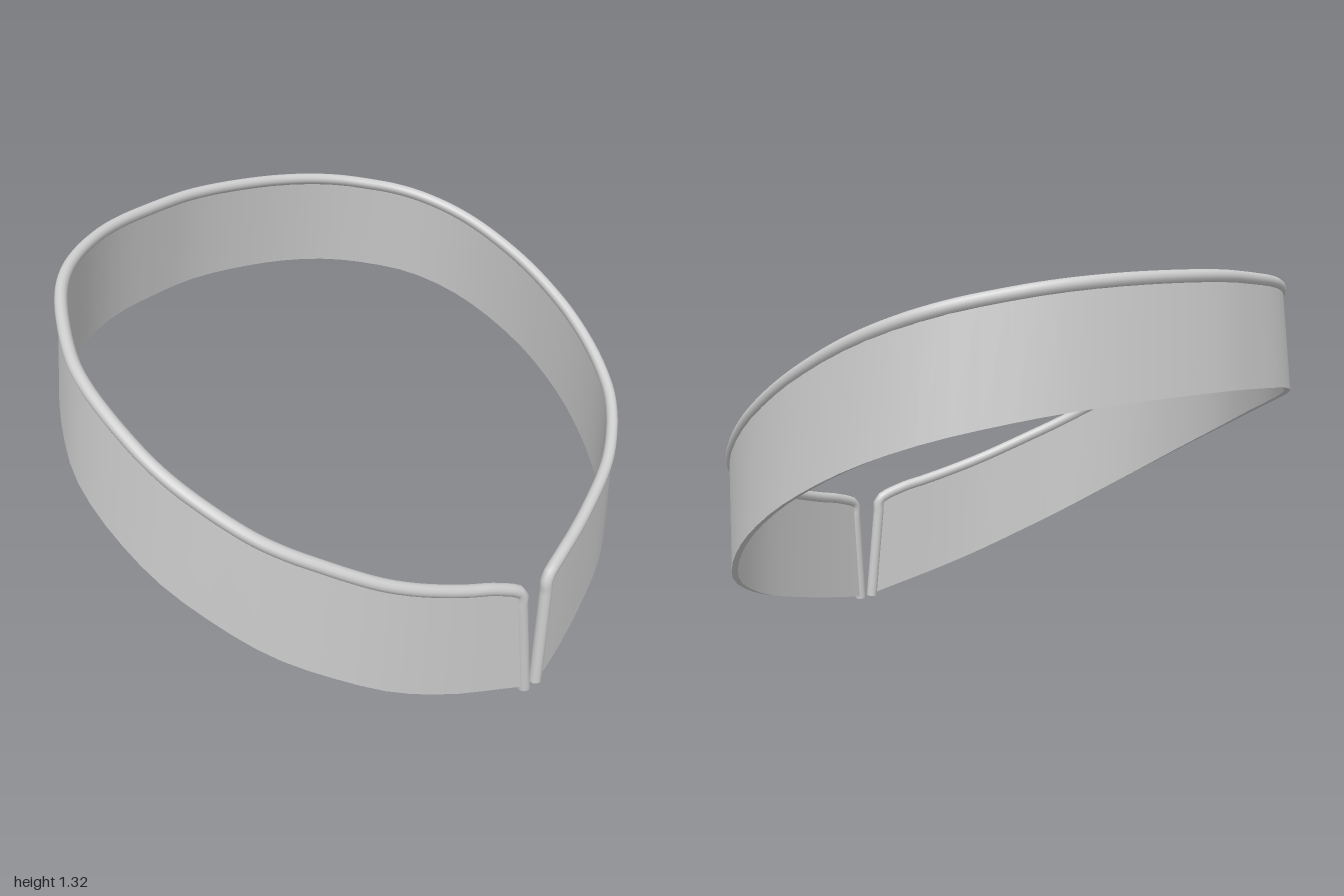
import * as THREE from 'three';
import { toCreasedNormals } from 'three/addons/utils/BufferGeometryUtils.js';

const SEGMENTS = 72;
const WALL = 0.01; // half thickness of the band
const PIPE = 0.021; // piping radius

// Plan of the top edge (x, z), from one side of the opening round to the other
const PLAN = [
  [0.855, 0.08], [0.825, 0.17], [0.77, 0.33], [0.69, 0.5], [0.58, 0.65], [0.46, 0.78], [0.32, 0.87],
  [0.17, 0.93], [0, 0.953], [-0.15, 0.95], [-0.26, 0.925], [-0.49, 0.81], [-0.6, 0.72], [-0.69, 0.6],
  [-0.77, 0.43], [-0.82, 0.2], [-0.84, 0.03], [-0.825, -0.18], [-0.78, -0.39], [-0.71, -0.56],
  [-0.62, -0.69], [-0.52, -0.8], [-0.38, -0.885], [-0.24, -0.93], [-0.05, -0.955], [0.06, -0.955],
  [0.21, -0.94], [0.38, -0.89], [0.52, -0.81], [0.61, -0.71], [0.69, -0.58], [0.77, -0.37],
  [0.83, -0.17], [0.858, -0.05],
];
const topY = (x) => 0.985 - 0.517 * x - 0.169 * x * x;
const bottomY = (x) => 0.615 - 0.547 * x - 0.175 * x * x;

const topCurve = new THREE.CatmullRomCurve3(PLAN.map(([x, z]) => new THREE.Vector3(x, topY(x), z)));

// The lower edge flares outwards at the back and closes up at the opening
function lowerPoint(p, u) {
  const x = p.x * (p.x < 0 ? 1.042 : 1.01);
  const flare = 1 + 0.035 * (1 - THREE.MathUtils.smoothstep(p.x, -0.1, 0.6));
  const close = -0.045 * Math.max(0, 1 - u / 0.12) + 0.03 * Math.max(0, 1 - (1 - u) / 0.12);
  return new THREE.Vector3(x, bottomY(x), p.z * flare + close);
}

// Thin closed wall lofted between the upper and lower edges
function bandGeometry() {
  const positions = [];
  const index = [];
  for (let i = 0; i <= SEGMENTS; i++) {
    const u = i / SEGMENTS;
    const top = topCurve.getPointAt(u);
    const low = lowerPoint(top, u);
    const t = topCurve.getTangentAt(u);
    const out = new THREE.Vector3(t.z, 0, -t.x).normalize().multiplyScalar(WALL);
    for (const [p, s] of [[top, 1], [low, 1], [low, -1], [top, -1]]) {
      positions.push(p.x + out.x * s, p.y, p.z + out.z * s);
    }
    if (i === SEGMENTS) break;
    for (let k = 0; k < 4; k++) {
      const a = i * 4 + k, b = i * 4 + ((k + 1) % 4);
      index.push(a, a + 4, b + 4, a, b + 4, b);
    }
  }
  const e = SEGMENTS * 4;
  index.push(0, 1, 2, 0, 2, 3, e, e + 2, e + 1, e, e + 3, e + 2);
  const geometry = new THREE.BufferGeometry();
  geometry.setAttribute('position', new THREE.Float32BufferAttribute(positions, 3));
  geometry.setIndex(index);
  return toCreasedNormals(geometry, 0.7);
}

// One run of piping: up one side of the opening, round the top, down the other
function pipingCurve() {
  const points = [];
  const rim = topCurve.getSpacedPoints(60);
  const feet = [lowerPoint(rim[0], 0), lowerPoint(rim[60], 1)];
  feet.forEach((f) => { f.y = 0.002; });
  const rise = [0, 0.3, 0.6, 0.85, 0.95];
  rise.forEach((k) => points.push(feet[0].clone().lerp(rim[0], k)));
  points.push(...rim.slice(1, 60));
  rise.reverse().forEach((k) => points.push(feet[1].clone().lerp(rim[60], k)));
  return new THREE.CatmullRomCurve3(points, false, 'centripetal');
}

export function createModel() {
  const group = new THREE.Group();
  const material = new THREE.MeshStandardMaterial({ color: 0xcccccc, side: THREE.DoubleSide });
  const add = (name, geometry) => {
    const mesh = new THREE.Mesh(geometry, material);
    mesh.name = name;
    group.add(mesh);
    return mesh;
  };

  add('collarBand', bandGeometry());
  const path = pipingCurve();
  add('edgePiping', new THREE.TubeGeometry(path, 260, PIPE, 12, false));

  // Flat caps on the two piping ends
  for (const u of [0, 1]) {
    const cap = add('pipingEnd', new THREE.CircleGeometry(PIPE, 12));
    cap.position.copy(path.getPointAt(u));
    cap.lookAt(cap.position.clone().addScaledVector(path.getTangentAt(u), u ? 1 : -1));
  }
  return group;
}
